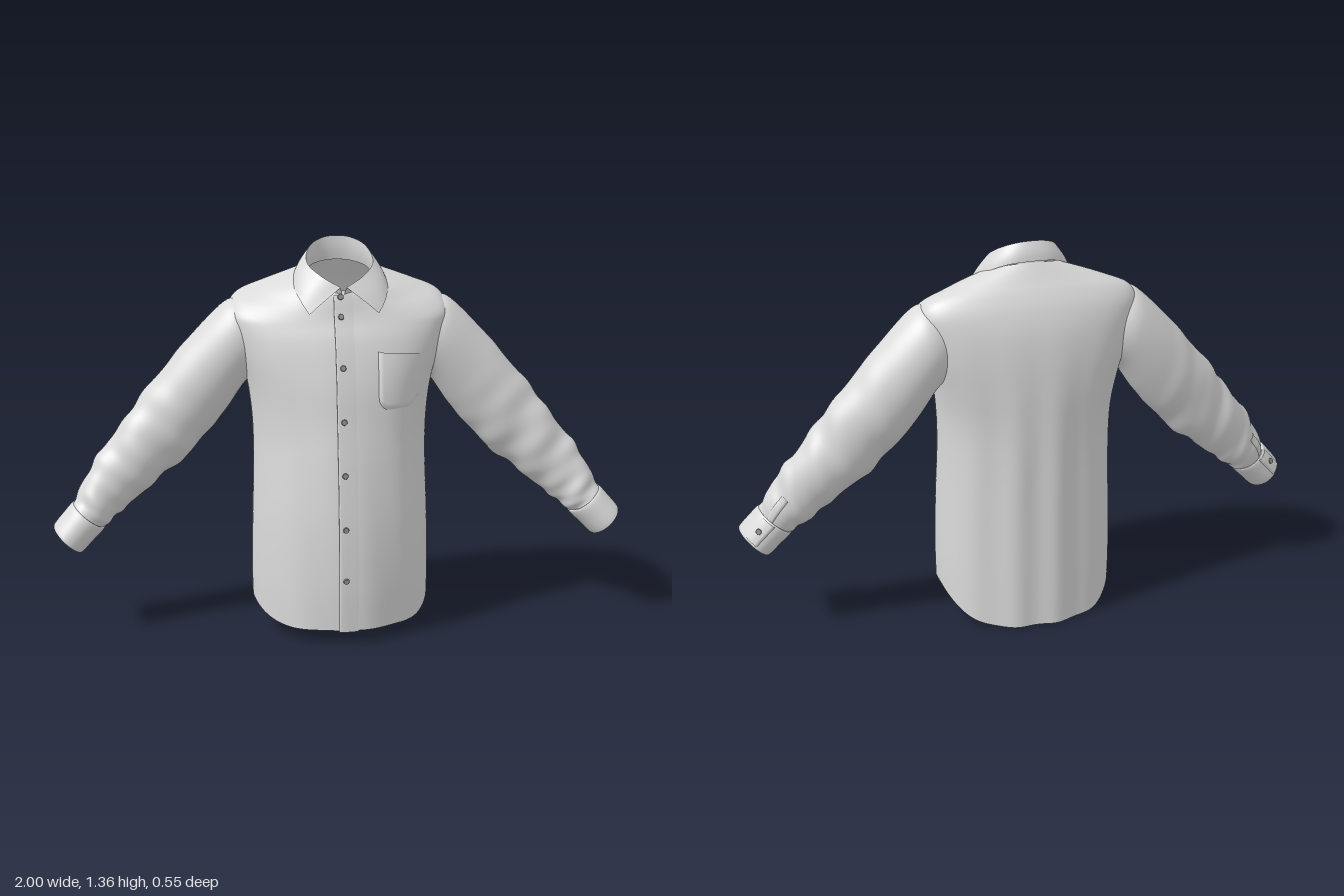
import * as THREE from 'three';
import { mergeVertices } from 'three/addons/utils/BufferGeometryUtils.js';

const cloth = new THREE.MeshStandardMaterial({ color: 0xdadada, side: THREE.DoubleSide });
cloth.name = 'light grey cloth';
const buttonGrey = new THREE.MeshStandardMaterial({ color: 0x8c8c8c });
buttonGrey.name = 'button grey';

// Smooth interpolation through rows of numbers, v in 0..1
function sample(rows, v) {
  const n = rows.length - 1;
  const i = Math.min(n - 1, Math.floor(v * n));
  const t = v * n - i;
  const at = (k) => rows[Math.max(0, Math.min(n, k))];
  return rows[0].map((_, c) => {
    const a = at(i - 1)[c], b = at(i)[c], d = at(i + 1)[c], e = at(i + 2)[c];
    const m0 = (d - a) / 2, m1 = (e - b) / 2;
    return b + m0 * t + (3 * (d - b) - 2 * m0 - m1) * t * t + (2 * (b - d) + m0 + m1) * t * t * t;
  });
}

// Surface from a function of two parameters, both 0..1, with optional cut-outs
function grid(fn, nu, nv, isOpen = () => false) {
  const pos = [], index = [];
  for (let j = 0; j <= nv; j++) for (let i = 0; i <= nu; i++) pos.push(...fn(i / nu, j / nv));
  for (let j = 0; j < nv; j++) for (let i = 0; i < nu; i++) {
    const a = j * (nu + 1) + i, b = a + 1, c = a + nu + 1, d = c + 1;
    if (!isOpen(...pos.slice(a * 3, a * 3 + 3))) index.push(a, c, b, b, c, d);
  }
  const g = new THREE.BufferGeometry();
  g.setAttribute('position', new THREE.Float32BufferAttribute(pos, 3));
  g.setIndex(index);
  const merged = mergeVertices(g, 1e-5);
  merged.computeVertexNormals();
  return merged;
}

// Torso rings: height, half width, front z, back z, side z, forward tilt
const torsoRows = [
  [0, 0.31, 0.268, -0.27, 0, 0],
  [0.2, 0.312, 0.27, -0.268, 0, 0],
  [0.4, 0.308, 0.26, -0.265, 0, 0],
  [0.6, 0.302, 0.236, -0.262, -0.01, 0],
  [0.75, 0.305, 0.211, -0.26, -0.02, 0],
  [0.87, 0.32, 0.193, -0.257, -0.045, 0],
  [0.97, 0.345, 0.171, -0.25, -0.06, 0.02],
  [1.05, 0.368, 0.149, -0.236, -0.063, 0.08],
  [1.11, 0.38, 0.125, -0.213, -0.063, 0.15],
  [1.15, 0.355, 0.114, -0.185, -0.06, 0.24],
  [1.182, 0.28, 0.107, -0.16, -0.048, 0.3],
  [1.21, 0.205, 0.1, -0.14, -0.03, 0.35],
  [1.235, 0.13, 0.09, -0.122, -0.02, 0.4],
];

function torsoPoint(v, c, s) {
  const [y0, w, zf, zb, zc, tilt] = sample(torsoRows, v);
  const fade = Math.max(0, 1 - y0 / 1.1);
  // the chest and yoke are blunter at the sides, to run into the sleeves
  const blunt = THREE.MathUtils.smoothstep(y0, 0.65, 1) * (1 - THREE.MathUtils.smoothstep(y0, 1.1, 1.2));
  // soft vertical folds
  const fold = s < 0 ? 0.006 * Math.sin(c * 13 + 0.6) * Math.min(1, fade * 2) * -s
    : 0.007 * Math.sin(c * 9 + y0 * 3) * fade * s * Math.abs(c) * 2;
  const z = s > 0 ? zc + (zf - zc) * Math.pow(s, 1.08 - 0.48 * blunt) + fold
    : zc + (zb - zc) * Math.pow(-s, 0.78 - 0.16 * blunt) + fold;
  // shirt-tail hem: high at the sides, lowest at the back
  const k = THREE.MathUtils.smoothstep(Math.abs(s), 0, s > 0 ? 0.8 : 0.95);
  const hem = 0.1 - (s > 0 ? 0.056 : 0.1) * k;
  return [c * w, y0 + hem * Math.max(0, 1 - y0 / 0.2) - tilt * z, z];
}

// Armholes, hidden inside the sleeve heads
const inArmhole = (x, y, z) =>
  Math.abs(x) > 0.28 && Math.hypot((y - 1.01) / 0.125, (z + 0.064) / 0.108) < 0.95;

// Point of the shirt front at a given x and y, lifted by an offset
function onFront(x, y, lift) {
  let lo = 0, hi = 1, p;
  for (let k = 0; k < 24; k++) {
    const v = (lo + hi) / 2;
    const c = THREE.MathUtils.clamp(x / sample(torsoRows, v)[1], -1, 1);
    p = torsoPoint(v, c, Math.sqrt(1 - c * c));
    if (p[1] < y) lo = v; else hi = v;
  }
  return [x, y, p[2] + lift];
}

// Sleeve rings: top x, y, underside x, y, centre z, half depth
const sleeveRows = [
  [0.32, 1.152, 0.275, 0.895, -0.063, 0.112],
  [0.395, 1.141, 0.325, 0.862, -0.066, 0.126],
  [0.54, 0.995, 0.4, 0.755, -0.066, 0.119],
  [0.655, 0.86, 0.5, 0.64, -0.057, 0.107],
  [0.76, 0.725, 0.62, 0.535, -0.043, 0.094],
  [0.84, 0.62, 0.73, 0.45, -0.028, 0.084],
  [0.9, 0.525, 0.795, 0.395, -0.008, 0.08],
  [0.932, 0.45, 0.838, 0.37, 0.008, 0.076],
];
const cuffRows = [
  [0.925, 0.45, 0.838, 0.378, 0.006, 0.074],
  [0.935, 0.46, 0.825, 0.37, 0.008, 0.086],
  [0.968, 0.425, 0.862, 0.332, 0.015, 0.088],
  [0.999, 0.388, 0.9, 0.294, 0.022, 0.088],
  [0.996, 0.38, 0.906, 0.296, 0.022, 0.082],
  [0.985, 0.385, 0.9, 0.31, 0.02, 0.076],
  [0.925, 0.445, 0.84, 0.375, 0.008, 0.07],
];

function tubePoint(rows, v, phi, side, scale = 1, wrinkle = 0) {
  const [tx, ty, bx, by, zc, zh] = sample(rows, v);
  // diagonal creases, strongest around elbow and wrist
  const amp = wrinkle * THREE.MathUtils.smoothstep(v, 0.2, 0.55);
  const r = scale + amp * (Math.sin(v * 44 + 2 * Math.sin(phi + 0.7)) * 0.6
    + Math.sin(v * 27 - 2 * phi + 1) * 0.5 + Math.sin(v * 71 + 3 * phi) * 0.25);
  const a = Math.cos(phi) * r / 2;
  return [side * ((tx + bx) / 2 + a * (tx - bx)), (ty + by) / 2 + a * (ty - by), zc + Math.sin(phi) * zh * r];
}

// Collar edges, centre front round to centre back (one half)
const collarTop = [[0.01, 1.212, 0.107], [0.07, 1.245, 0.08], [0.113, 1.282, 0.01],
  [0.1, 1.325, -0.065], [0.055, 1.35, -0.105], [0, 1.357, -0.116]];
const collarEdge = [[0.118, 1.125, 0.128], [0.146, 1.168, 0.093], [0.162, 1.21, 0.02],
  [0.145, 1.25, -0.07], [0.08, 1.285, -0.125], [0, 1.293, -0.139]];
const collarSeam = [[0, 1.165, 0.092], [0.07, 1.175, 0.075], [0.116, 1.215, 0],
  [0.106, 1.25, -0.072], [0.058, 1.268, -0.11], [0, 1.273, -0.121]];
const wholeLoop = (half) => [...half, ...half.slice(0, -1).reverse().map(([x, y, z]) => [-x, y, z])];

export function createModel() {
  const shirt = new THREE.Group();
  shirt.name = 'shirt';
  const add = (name, geometry, material = cloth) => {
    const mesh = new THREE.Mesh(geometry, material);
    mesh.name = name;
    shirt.add(mesh);
    return mesh;
  };
  const addButton = (name, p, normal, radius = 0.0105) => {
    const b = add(name, new THREE.CylinderGeometry(radius * 0.85, radius, 0.006, 16), buttonGrey);
    b.position.set(...p);
    b.quaternion.setFromUnitVectors(new THREE.Vector3(0, 1, 0), normal.normalize());
  };

  add('torso', grid((u, v) => {
    const a = u * Math.PI * 2;
    return torsoPoint(v, Math.cos(a), Math.sin(a));
  }, 128, 90, inArmhole));

  // Front overlap with a raised edge on the right
  add('placket', grid((u, v) => onFront(-0.033 + 0.066 * Math.max(0, u - 0.1) / 0.9,
    0.04 + 1.145 * v, u === 0 ? -0.004 : 0.008 * (1 - u)), 10, 60));

  // Chest pocket with clipped lower corners and folded-in rim
  add('chestPocket', grid((u, v) => {
    const x = 0.11 + 0.155 * u;
    const low = 0.8 + 0.035 * THREE.MathUtils.smoothstep(Math.abs(u - 0.45), 0.25, 0.55);
    const y = THREE.MathUtils.lerp(low, 0.998 - 0.014 * u, v);
    const rim = u === 0 || u === 1 || v === 0;
    return onFront(x, y, rim ? -0.002 : 0.007 + 0.006 * v * Math.sin(u * Math.PI));
  }, 16, 16));

  for (const y of [1.18, 1.115, 0.95, 0.77, 0.59, 0.405, 0.225]) {
    const p = onFront(-0.01, y, 0.008);
    const q = onFront(-0.01, y - 0.02, 0.008);
    addButton('frontButton', p, new THREE.Vector3(0, Math.max(0, q[2] - p[2]), 0.02));
  }

  // Collar: stand inside, turned-down leaf outside
  const top = wholeLoop(collarTop), edge = wholeLoop(collarEdge), seam = wholeLoop(collarSeam);
  const collarBand = (lower, bulge) => grid((u, v) => {
    const a = sample(top, u), b = sample(lower, u);
    const puff = 1 + bulge * Math.sin(v * Math.PI);
    return a.map((n, i) => THREE.MathUtils.lerp(n, b[i], v) * (i === 1 ? 1 : puff));
  }, 60, 8);
  add('collarLeaf', collarBand(edge, 0.035));
  add('collarStand', collarBand(seam, -0.03));

  for (const side of [1, -1]) {
    const label = side > 0 ? 'left' : 'right';
    add(label + 'Sleeve', grid((u, v) =>
      tubePoint(sleeveRows, v, u * Math.PI * 2 * side, side, 1, 0.05), 48, 90));
    add(label + 'Cuff', grid((u, v) =>
      tubePoint(cuffRows, v, u * Math.PI * 2 * side, side), 40, 30));
    // Sleeve opening strip and overlapping cuff tab on the back
    add(label + 'SleevePlacket', grid((u, v) =>
      tubePoint(sleeveRows, 0.8 + 0.19 * v, -1.15 + 0.35 * u, side, u % 1 === 0 ? 1 : 1.06, 0.05), 6, 10));
    add(label + 'CuffTab', grid((u, v) =>
      tubePoint(cuffRows, 0.18 + 0.3 * v, -1.35 + 0.75 * u, side, u % 1 === 0 ? 1 : 1.06), 10, 6));
    const p = tubePoint(cuffRows, 0.33, -0.95, side, 1.08);
    const c = tubePoint(cuffRows, 0.33, -0.95, side, 0);
    addButton(label + 'CuffButton', p, new THREE.Vector3(...p).sub(new THREE.Vector3(...c)), 0.011);
  }
  return shirt;
}
